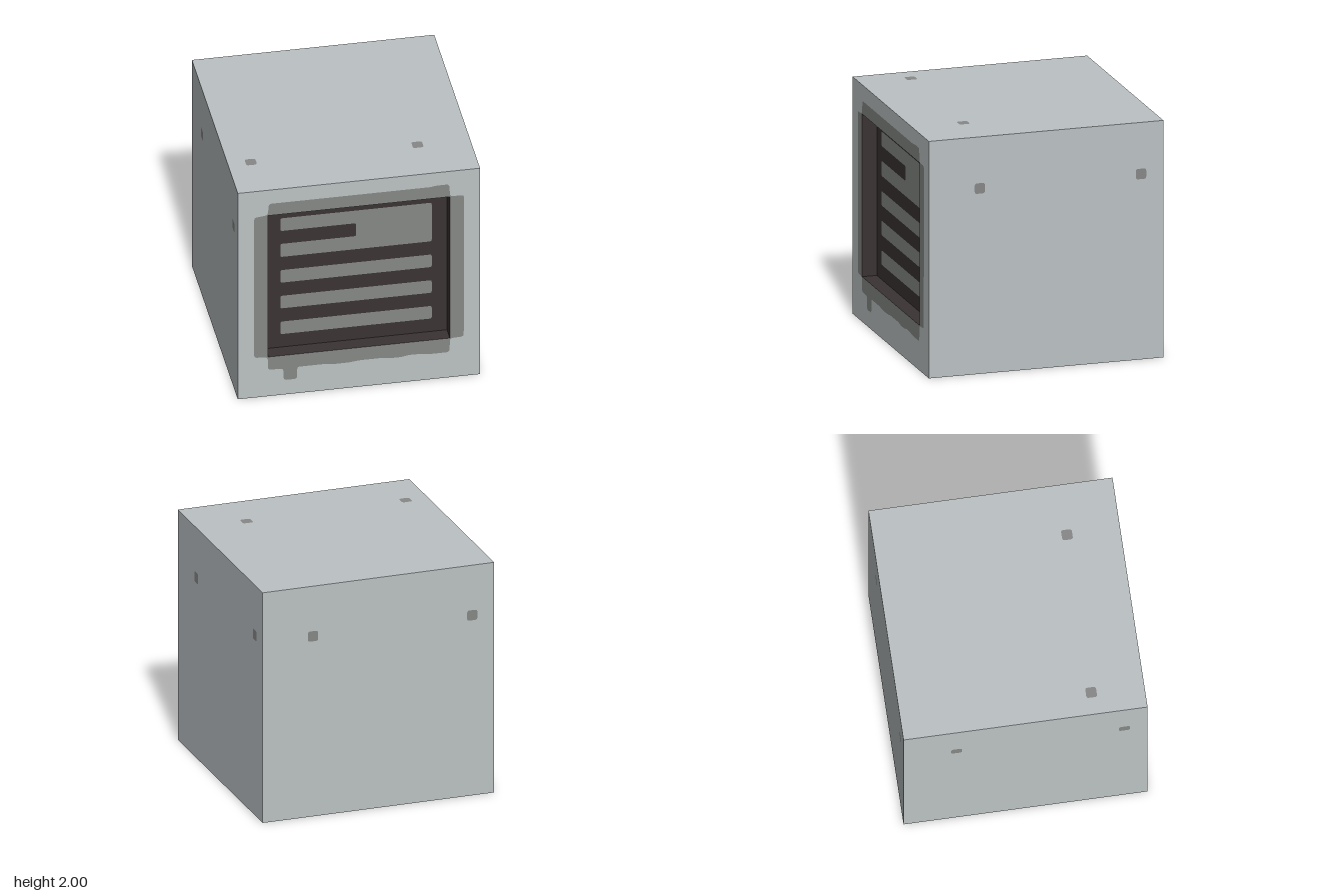
import * as THREE from 'three';

const material = (name, color) => new THREE.MeshStandardMaterial({ name, color });

// Closed outline with softened corners
function outline(points, radius, Type = THREE.Shape) {
  const p = points.map(([x, y]) => new THREE.Vector2(x, y));
  const path = new Type();
  p.forEach((c, i) => {
    const a = p[(i + p.length - 1) % p.length], b = p[(i + 1) % p.length];
    const toward = (q) => c.clone().lerp(q, Math.min(0.5, radius / c.distanceTo(q)));
    const s = toward(a), e = toward(b);
    if (i === 0) path.moveTo(s.x, s.y); else path.lineTo(s.x, s.y);
    if (radius > 0) path.quadraticCurveTo(c.x, c.y, e.x, e.y);
  });
  path.closePath();
  return path;
}

const rect = (x0, y0, x1, y1) => [[x0, y0], [x1, y0], [x1, y1], [x0, y1]];

export function createModel() {
  const model = new THREE.Group();
  model.name = 'ventCube';
  const shell = material('pale grey shell', 0xbcc2c4);
  const stain = material('mid grey', 0x868886);
  const dark = material('dark recess', 0x3b3333);

  // Flat face with holes; each entry is [points, corner radius]
  function plate(parent, name, mat, outer, holes = [], z = 1) {
    const shape = outline(...outer);
    shape.holes = holes.map(([pts, r]) => outline(pts, r, THREE.Path));
    const mesh = new THREE.Mesh(new THREE.ShapeGeometry(shape, 4), mat);
    mesh.name = name;
    mesh.position.z = z;
    parent.add(mesh);
  }

  // Five plain faces, each with two inset dots
  const square = [rect(-1, -1, 1, 1), 0];
  const dots = [-0.565, 0.81].map((u) => [rect(u - 0.044, 0.521, u + 0.044, 0.609), 0.02]);
  const faces = {
    leftFace: [0, Math.PI / 2, 0],
    rightFace: [0, -Math.PI / 2, 0],
    backFace: [0, Math.PI, 0],
    topFace: [-Math.PI / 2, 0, Math.PI],
    bottomFace: [Math.PI / 2, 0, Math.PI],
  };
  for (const [name, rotation] of Object.entries(faces)) {
    const face = new THREE.Group();
    face.name = name;
    face.rotation.set(...rotation);
    face.position.y = 1;
    plate(face, name + 'Panel', shell, square, dots);
    dots.forEach((dot) => plate(face, name + 'Dot', stain, dot));
    model.add(face);
  }

  // Front face: shell, then the dripping stained border, then the opening
  const border = [[
    [-0.865, 0.385], [-0.753, 0.378], [-0.75, 0.255], [-0.625, 0.253], [-0.62, 0.14],
    [-0.51, 0.14], [-0.51, 0.255], [-0.28, 0.255], [-0.23, 0.245], [-0.08, 0.246],
    [0, 0.256], [0.2, 0.256], [0.27, 0.245], [0.35, 0.245], [0.42, 0.258],
    [0.5, 0.256], [0.58, 0.245], [0.746, 0.245], [0.753, 0.378], [0.865, 0.383],
    [0.868, 1.755], [0.753, 1.757], [0.745, 1.875], [0.63, 1.874], [0.6, 1.866],
    [-0.743, 1.866], [-0.753, 1.757], [-0.865, 1.745],
  ], 0.025];
  const opening = [rect(-0.75, 0.38, 0.75, 1.753), 0];
  plate(model, 'frontPanel', shell, [rect(-1, 0, 1, 2), 0], [border]);
  plate(model, 'stainedBorder', stain, border, [opening]);

  // Back of the recess with grey slots
  const slots = [0.505, 0.755, 1.005].map((y) => [rect(-0.625, y, 0.625, y + 0.122), 0.018]);
  slots.push([[
    [-0.625, 1.255], [0.625, 1.255], [0.625, 1.63], [-0.625, 1.63],
    [-0.625, 1.507], [0, 1.507], [0, 1.382], [-0.625, 1.382],
  ], 0.018]);
  plate(model, 'recessBack', dark, opening, slots, 0.875);
  slots.forEach((slot) => plate(model, 'slot', stain, slot, [], 0.875));

  // Inner walls of the recess
  function wall(name, w, h, position, rotation) {
    const mesh = new THREE.Mesh(new THREE.PlaneGeometry(w, h), dark);
    mesh.name = name;
    mesh.position.set(...position);
    mesh.rotation.set(...rotation);
    model.add(mesh);
  }
  const depth = 0.125, z = 1 - depth / 2;
  for (const s of [-1, 1]) {
    wall('recessSide', depth, 1.373, [s * 0.75, 1.0665, z], [0, -s * Math.PI / 2, 0]);
  }
  wall('recessFloor', 1.5, depth, [0, 0.38, z], [-Math.PI / 2, 0, 0]);
  wall('recessCeiling', 1.5, depth, [0, 1.753, z], [Math.PI / 2, 0, 0]);
  return model;
}
